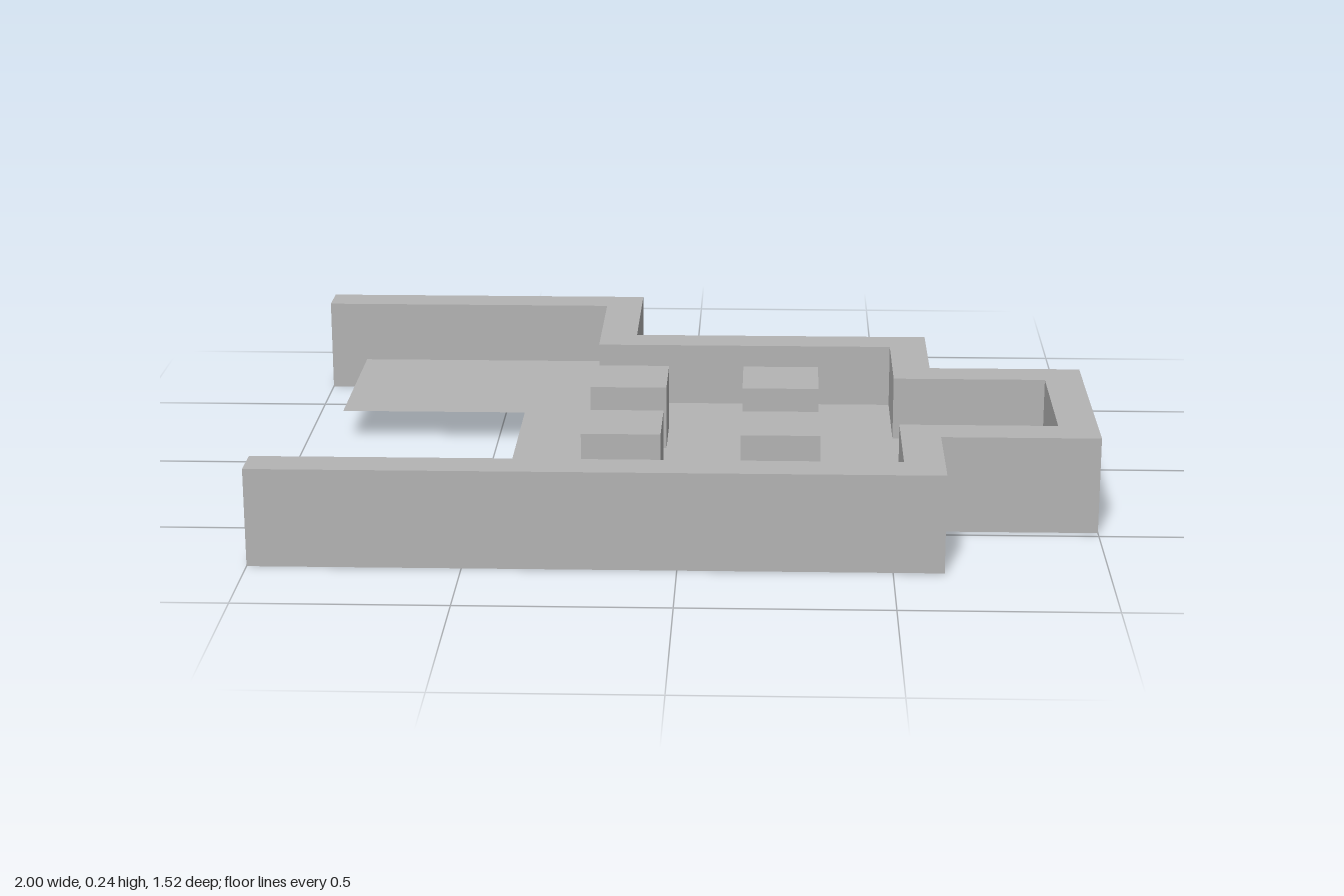
import * as THREE from 'three';

const U = 2 / 21;          // layout module; the plan is drawn in these units
const HEIGHT = 2.5 * U;
const FLOOR_Y = HEIGHT / 3;

// Plan points are [x, z] in modules
const planShape = (points) =>
  new THREE.Shape(points.map(([x, z]) => new THREE.Vector2(x * U, z * U)));

export function createModel() {
  const group = new THREE.Group();
  group.name = 'floorPlan';
  const grey = new THREE.MeshStandardMaterial({ color: 0xb4b4b4, side: THREE.DoubleSide });
  grey.name = 'plain grey';

  const add = (name, geometry) => {
    const mesh = new THREE.Mesh(geometry, grey);
    mesh.name = name;
    group.add(mesh);
    return mesh;
  };

  // Stepped wall, open on the -x side: outer face, then inner face back again
  const outer = [
    [-10.5, -8], [-1.5, -8], [-1.5, -4], [6.5, -4], [6.5, -1], [10.5, -1],
    [10.5, 5], [6.5, 5], [6.5, 8], [-10.5, 8],
  ];
  const inner = [
    [-10.5, 7], [5.5, 7], [5.5, 4], [9.5, 4], [9.5, 0],
    [5.5, 0], [5.5, -3], [-2.5, -3], [-2.5, -7], [-10.5, -7],
  ];
  const wall = new THREE.ExtrudeGeometry(planShape([...outer, ...inner]), {
    depth: HEIGHT, bevelEnabled: false,
  });
  wall.rotateX(Math.PI / 2).translate(0, HEIGHT, 0);
  add('wall', wall);

  // Thin floor sheet inside the wall, notched on the open side
  const floor = new THREE.ShapeGeometry(planShape([
    [-9.5, 7], ...inner.slice(1, -1), [-9.5, -7],
    [-9.5, -2], [-4.5, -2], [-4.5, 3], [-9.5, 3],
  ]));
  floor.rotateX(Math.PI / 2).translate(0, FLOOR_Y, 0);
  add('floor', floor);

  // Four square pillars passing through the floor
  for (const x of [-1.5, 2.5]) {
    for (const z of [0, 4]) {
      add('pillar', new THREE.BoxGeometry(2 * U, HEIGHT, 2 * U))
        .position.set(x * U, HEIGHT / 2, z * U);
    }
  }
  return group;
}
